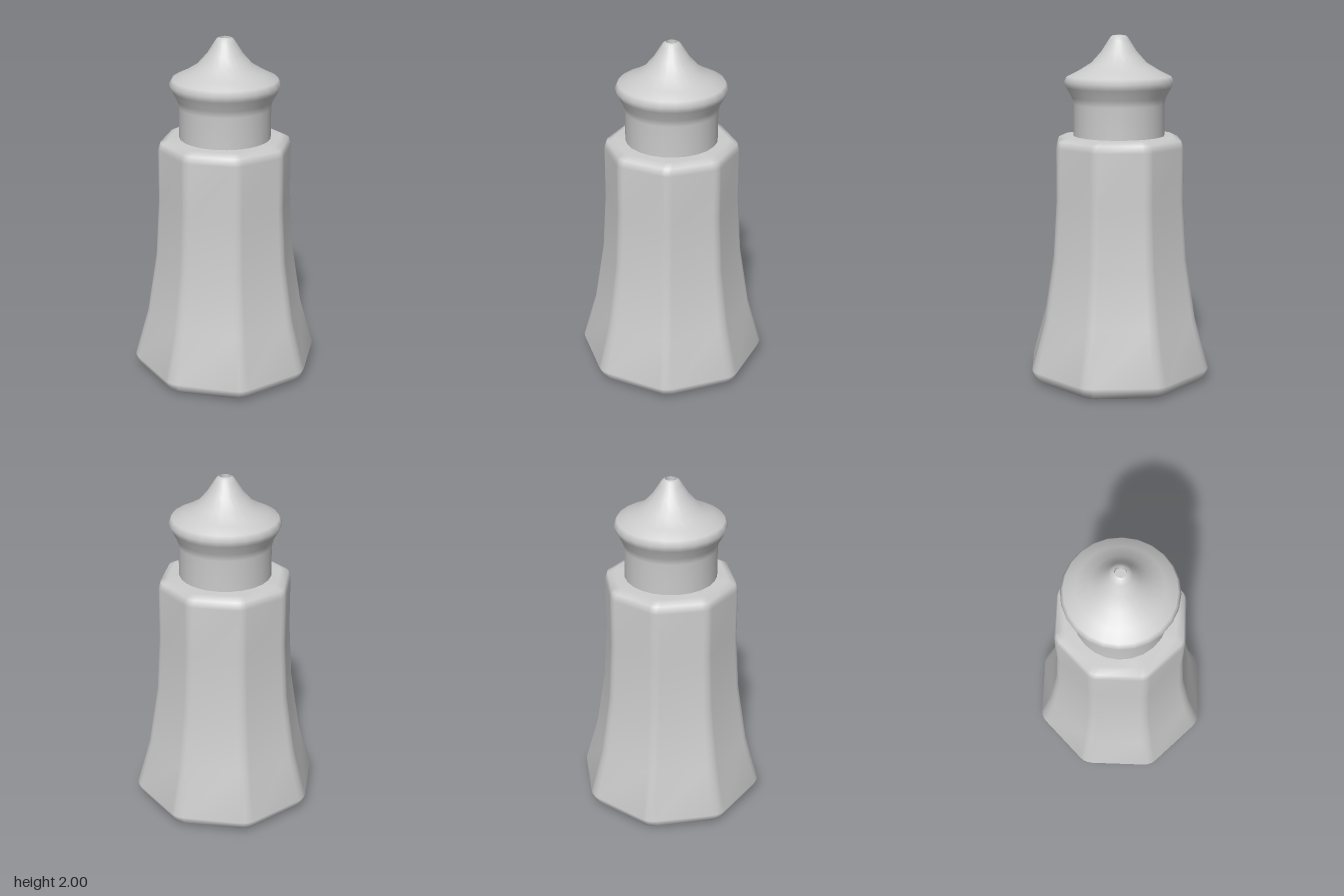
import * as THREE from 'three';

const material = new THREE.MeshStandardMaterial({ color: 0xcccccc });

// Outline of an octagon with rounded corners, as [x, z] points
function roundedOctagon(apothem, cut) {
  const points = [];
  const cornerRadius = apothem / Math.cos(Math.PI / 8);
  const arcRadius = cut / Math.tan(Math.PI / 8);
  const centre = cornerRadius - arcRadius / Math.cos(Math.PI / 8);
  const steps = 3;
  for (let i = 0; i < 8; i++) {
    const a = (i + 0.5) * Math.PI / 4;
    for (let j = 0; j <= steps; j++) {
      const b = a + (j / steps - 0.5) * Math.PI / 4;
      points.push([
        centre * Math.cos(a) + arcRadius * Math.cos(b),
        centre * Math.sin(a) + arcRadius * Math.sin(b),
      ]);
    }
  }
  return points;
}

// Closed loft through octagonal sections given as [apothem, y], bottom to top
function octagonLoft(sections) {
  const positions = [];
  const index = [];
  let n = 0;
  for (const [apothem, y] of sections) {
    const ring = roundedOctagon(apothem, apothem * 0.085);
    n = ring.length;
    for (const [x, z] of ring) positions.push(x, y, z);
  }
  for (let s = 0; s < sections.length - 1; s++) {
    for (let i = 0; i < n; i++) {
      const a = s * n + i;
      const b = s * n + (i + 1) % n;
      index.push(a, a + n, b, b, a + n, b + n);
    }
  }
  // End caps
  const bottom = positions.length / 3;
  const top = bottom + 1;
  const last = (sections.length - 1) * n;
  positions.push(0, sections[0][1], 0, 0, sections[sections.length - 1][1], 0);
  for (let i = 0; i < n; i++) {
    const j = (i + 1) % n;
    index.push(bottom, i, j, top, last + j, last + i);
  }
  const geometry = new THREE.BufferGeometry();
  geometry.setAttribute('position', new THREE.Float32BufferAttribute(positions, 3));
  geometry.setIndex(index);
  geometry.computeVertexNormals();
  return geometry;
}

function lathe(profile) {
  return new THREE.LatheGeometry(profile.map(([r, y]) => new THREE.Vector2(r, y)), 24);
}

export function createModel() {
  const group = new THREE.Group();
  const add = (name, geometry) => {
    const mesh = new THREE.Mesh(geometry, material);
    mesh.name = name;
    group.add(mesh);
  };

  // Flared octagonal body with softened rims
  add('body', octagonLoft([
    [0.455, 0], [0.495, 0.03], [0.515, 0.08], [0.437, 0.37], [0.383, 0.73],
    [0.363, 1.07], [0.361, 1.37], [0.348, 1.41], [0.305, 1.43],
  ]));

  // Round neck flowing into the pointed cap
  add('neckAndCap', lathe([
    [0.262, 1.41], [0.262, 1.61], [0.272, 1.65], [0.302, 1.705], [0.315, 1.738],
    [0.298, 1.768], [0.235, 1.798], [0.158, 1.845], [0.1, 1.91],
    [0.062, 1.97], [0.047, 1.992], [0.032, 2],
  ]));

  // Small recess in the tip
  add('tipRecessWall', lathe([[0.032, 2], [0.032, 1.97]]));
  add('tipRecessFloor', lathe([[0.032, 1.97], [0, 1.97]]));

  return group;
}
